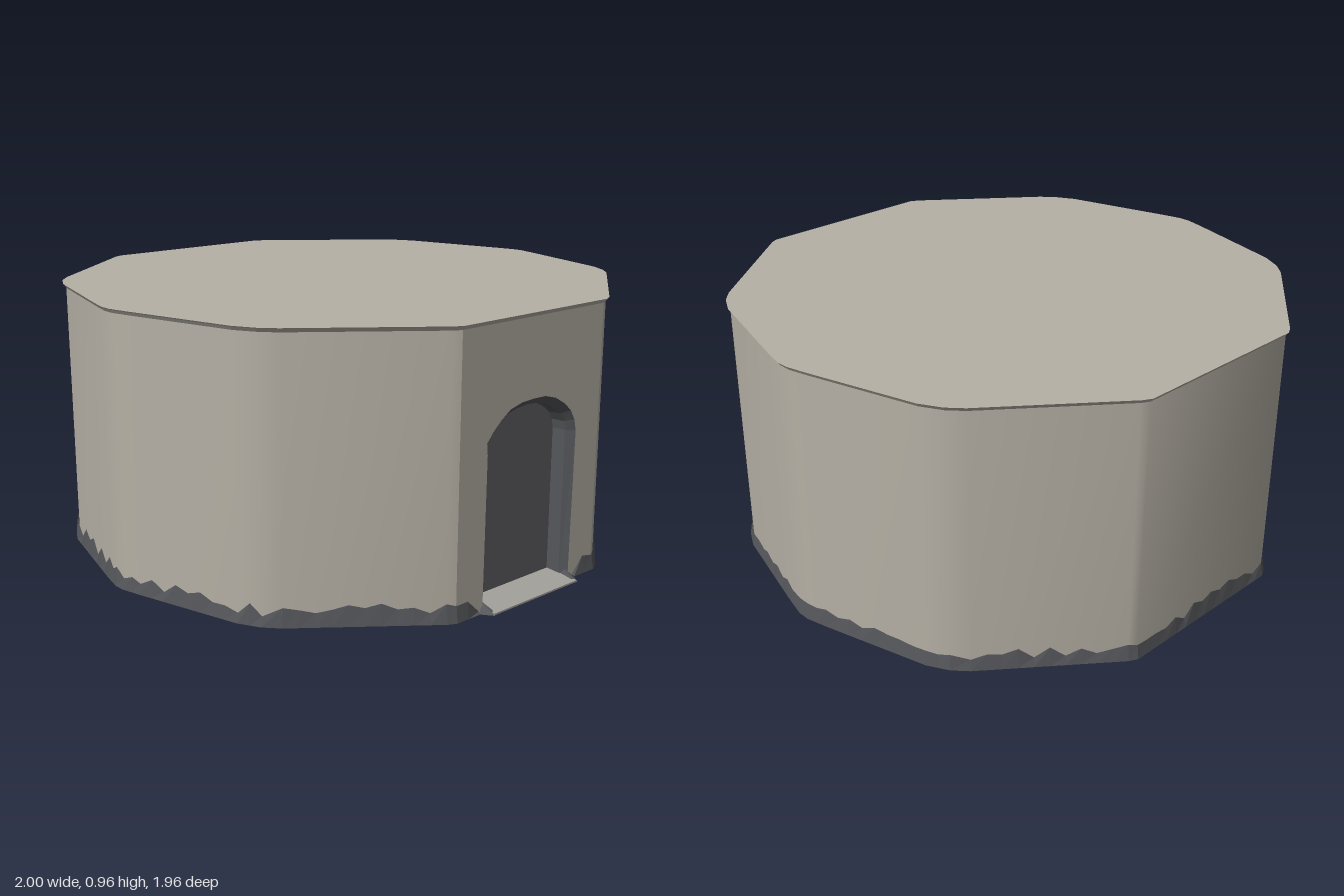
import * as THREE from 'three';
import { toCreasedNormals } from 'three/addons/utils/BufferGeometryUtils.js';

const CZ = -0.0225, HEIGHT = 0.965, SCALE = 0.988;
const FRONT_Z = CZ + 0.9625 * SCALE;

// Rounded decagon footprint: +x half from front to back, then mirrored
const half = [
  [0.345, 0.94], [0.375, 0.925], [0.785, 0.6], [0.83, 0.55], [0.87, 0.475], [0.98, 0.075], [0.998, 0.0],
  [0.998, -0.045], [0.98, -0.12], [0.87, -0.52], [0.83, -0.595], [0.785, -0.645], [0.375, -0.97], [0.345, -0.985],
];
const outline = [...half, ...half.map(([x, z]) => [-x, z]).reverse()];

let seed = 7;
const rand = () => (seed = (seed * 16807) % 2147483647) / 2147483647;

const material = (color, extra = {}) => new THREE.MeshStandardMaterial({ color, ...extra });
const stone = material(0xb5b0a5);
const darkStone = material(0x55565a, { flatShading: true, side: THREE.DoubleSide });
const doorGrey = material(0x5c5b60);
const sillGrey = material(0xa3a19b, { flatShading: true });

const ring = (s, y) => outline.map(([x, z]) => new THREE.Vector3(x * s, y, CZ + (z - CZ) * s));

// Surface through rows of points, lowest row first
function strip(rows, closed = false) {
  const pos = [];
  const add = (...pts) => pts.forEach((p) => pos.push(p.x, p.y, p.z));
  for (let r = 0; r + 1 < rows.length; r++) {
    const a = rows[r], b = rows[r + 1], n = a.length;
    for (let i = 0; i < (closed ? n : n - 1); i++) {
      const j = (i + 1) % n;
      add(a[i], a[j], b[j], a[i], b[j], b[i]);
    }
  }
  const g = new THREE.BufferGeometry();
  g.setAttribute('position', new THREE.Float32BufferAttribute(pos, 3));
  g.computeVertexNormals();
  return g;
}

// Doorway outline from bottom left, over the arch, to bottom right
function archPoints(w, spring, top, z, chip = 0) {
  const pts = [new THREE.Vector3(-w, 0, z)];
  const n = 12;
  for (let i = 0; i <= n; i++) {
    const a = Math.PI * (1 - i / n), k = 1 + chip * (rand() - 0.3);
    pts.push(new THREE.Vector3(Math.cos(a) * w * k, spring + Math.sin(a) * (top - spring) * k, z));
  }
  pts.push(new THREE.Vector3(w, 0, z));
  return pts;
}

const flatShape = (pts) => new THREE.ShapeGeometry(new THREE.Shape(pts.map((p) => new THREE.Vector2(p.x, p.y))));

export function createModel() {
  const model = new THREE.Group();
  const add = (name, geometry, mat) => {
    const mesh = new THREE.Mesh(geometry, mat);
    mesh.name = name;
    model.add(mesh);
    return mesh;
  };

  // Walls all round except the front face, and a thin flared lip at the top
  add('wall', toCreasedNormals(strip([ring(SCALE, 0), ring(SCALE, 0.95)]), 0.5), stone);
  add('topLip', strip([ring(SCALE, 0.95), ring(0.996, HEIGHT - 0.004), ring(1, HEIGHT)], true), stone);

  // Flat roof and underside
  const roof = new THREE.Shape(outline.map(([x, z]) => new THREE.Vector2(x, -z)));
  add('roof', new THREE.ShapeGeometry(roof).rotateX(-Math.PI / 2).translate(0, HEIGHT, 0), stone);
  const floor = new THREE.Shape(outline.map(([x, z]) => new THREE.Vector2(x, z)));
  add('underside', new THREE.ShapeGeometry(floor).rotateX(Math.PI / 2), stone);

  // Front face with the arched doorway cut into it
  const opening = archPoints(0.217, 0.53, 0.678, FRONT_Z, 0.06);
  const fx = 0.345 * SCALE;
  const face = [[fx, 0], [fx, 0.95], [-fx, 0.95], [-fx, 0]].map(([x, y]) => new THREE.Vector3(x, y, 0));
  add('frontWall', flatShape([...face, ...opening]).translate(0, 0, FRONT_Z), stone);

  // Bevelled doorway edge, its reveal, and the recessed door
  const inner = archPoints(0.198, 0.53, 0.655, FRONT_Z - 0.025);
  const back = archPoints(0.193, 0.53, 0.65, FRONT_Z - 0.075);
  add('doorwayReveal', strip([opening, inner, back]), darkStone);
  add('door', flatShape(back).translate(0, 0, FRONT_Z - 0.074), doorGrey);

  // Sloping threshold with tapered front corners
  const sill = new THREE.BoxGeometry(0.4, 0.02, 0.12).translate(0, 0.01, 0.915);
  const p = sill.attributes.position;
  for (let i = 0; i < p.count; i++) {
    if (p.getZ(i) > 0.95 && p.getY(i) > 0.01) p.setY(i, 0.006);
    if (p.getZ(i) > 0.95) p.setX(i, p.getX(i) * 1.05);
  }
  add('threshold', sill, sillGrey);
  for (const s of [-1, 1]) {
    const low = [[0.195, 0.975], [0.212, 0.978], [0.24, 0.938], [0.195, 0.9]];
    const bottom = low.map(([x, z]) => new THREE.Vector3(s * x, 0, z));
    const peak = low.map(() => new THREE.Vector3(s * 0.21, 0.03, 0.92));
    add(s > 0 ? 'leftThresholdEnd' : 'rightThresholdEnd', strip([bottom, peak], true), darkStone);
  }

  // Jagged dark band of worn stone around the foot, broken at the door
  const path = [[0.24, 0.94], ...outline, [-0.24, 0.94]];
  const foot = [], crest = [];
  path.forEach(([x, z], i) => {
    const [nx, nz] = path[i + 1] || [x, z];
    const n = Math.max(1, Math.round(Math.hypot(nx - x, nz - z) / 0.05));
    for (let k = 0; k < n; k++) {
      const t = k / n, px = x + (nx - x) * t, pz = z + (nz - z) * t;
      const end = (i === 0 && k === 0) || i === path.length - 1;
      const y = end ? 0.008 : (foot.length % 2 ? 0.045 : 0.03) + rand() * 0.03;
      foot.push(new THREE.Vector3(px, 0, pz));
      crest.push(new THREE.Vector3(px * 0.991, y, CZ + (pz - CZ) * 0.991));
    }
  });
  add('wornFoot', strip([foot, crest]), darkStone);

  return model;
}
